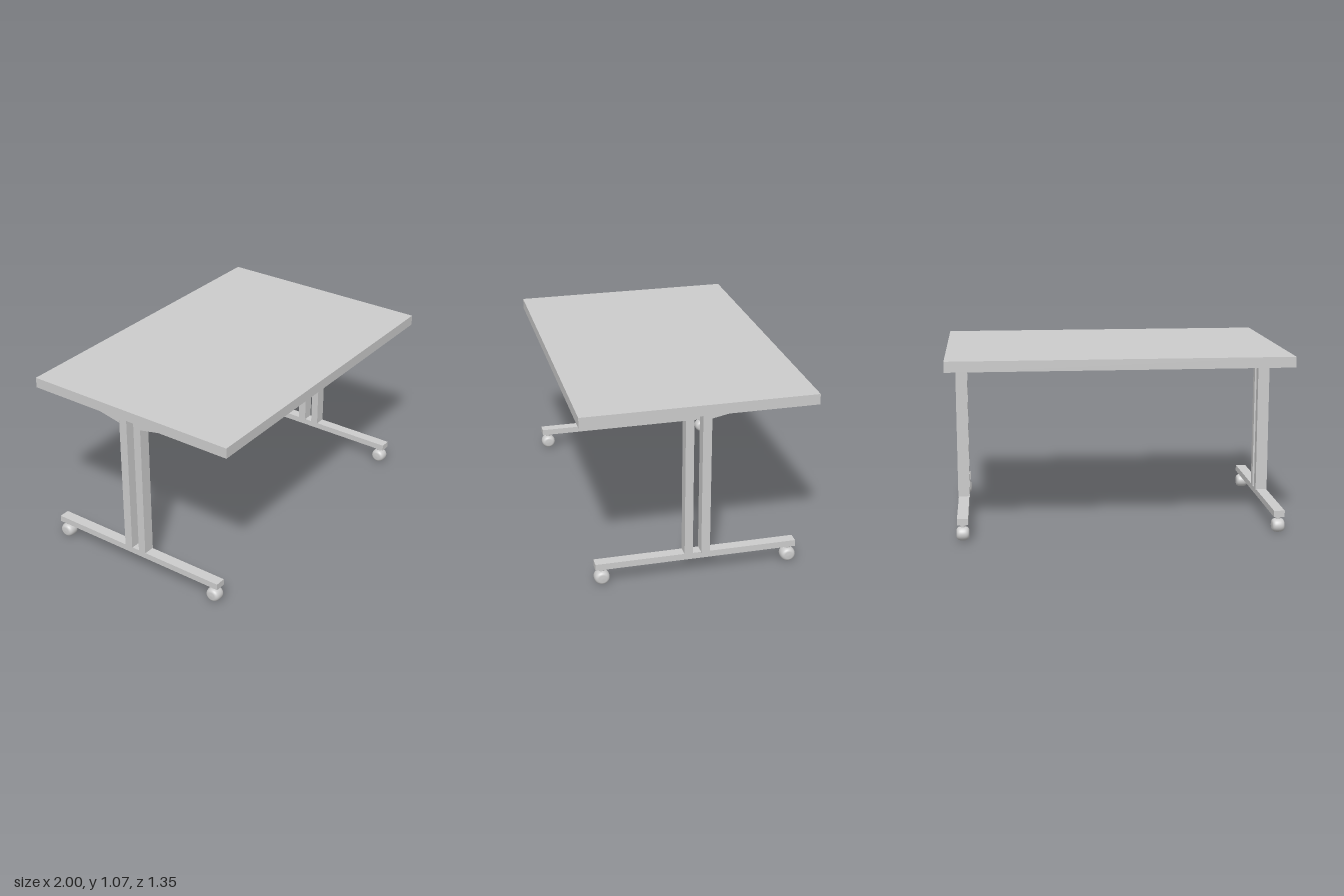
import * as THREE from 'three';

const material = new THREE.MeshStandardMaterial({ color: 0xcccccc });

function add(parent, name, geometry, x = 0, y = 0, z = 0) {
  const mesh = new THREE.Mesh(geometry, material);
  mesh.name = name;
  mesh.position.set(x, y, z);
  parent.add(mesh);
  return mesh;
}

// Box given by its width and its y and z ranges, centred on x = 0
function beam(parent, name, width, y0, y1, z0, z1) {
  return add(parent, name, new THREE.BoxGeometry(width, y1 - y0, z1 - z0), 0, (y0 + y1) / 2, (z0 + z1) / 2);
}

// Barrel wheel with rounded shoulders, turned about the x axis
function wheelGeometry() {
  const shape = new THREE.Path();
  shape.moveTo(0, -0.038);
  shape.lineTo(0.022, -0.037);
  shape.bezierCurveTo(0.037, -0.034, 0.042, -0.022, 0.042, 0);
  shape.bezierCurveTo(0.042, 0.022, 0.037, 0.034, 0.022, 0.037);
  shape.lineTo(0, 0.038);
  const geometry = new THREE.LatheGeometry(shape.getPoints(8), 32);
  geometry.rotateZ(Math.PI / 2);
  geometry.scale(1, 1, 1.07);
  return geometry;
}

// Wedge under the top, tapering away from the post (side = +1 front, -1 back)
function bracketGeometry(side) {
  const width = 0.076;
  const shape = new THREE.Shape([
    new THREE.Vector2(0.072, 0.968),
    new THREE.Vector2(0.253, 1.005),
    new THREE.Vector2(0.253, 1.01),
    new THREE.Vector2(0.072, 1.01),
  ]);
  const geometry = new THREE.ExtrudeGeometry(shape, { depth: width, bevelEnabled: false });
  geometry.translate(0, 0, -width / 2);
  geometry.rotateY(side > 0 ? -Math.PI / 2 : Math.PI / 2);
  return geometry;
}

function createLeg() {
  const leg = new THREE.Group();
  beam(leg, 'foot', 0.064, 0.1, 0.138, -0.588, 0.592);
  beam(leg, 'frontPost', 0.07, 0.132, 1.01, 0.028, 0.076);
  beam(leg, 'backPost', 0.07, 0.132, 1.01, -0.073, -0.022);

  for (const side of [1, -1]) {
    const end = side > 0 ? 'front' : 'back';
    add(leg, end + 'Bracket', bracketGeometry(side));

    const caster = new THREE.Group();
    caster.name = end + 'Caster';
    caster.position.z = side * 0.552;
    add(caster, 'stem', new THREE.CylinderGeometry(0.016, 0.016, 0.04, 20), 0, 0.085, 0);
    add(caster, 'wheel', wheelGeometry(), 0, 0.042, 0);
    leg.add(caster);
  }
  return leg;
}

export function createModel() {
  const table = new THREE.Group();
  table.name = 'table';

  beam(table, 'tableTop', 2, 1.008, 1.07, -0.675, 0.675);

  // The legs stand slightly off-centre under the top
  for (const [name, x] of [['rightLeg', -0.946], ['leftLeg', 0.918]]) {
    const leg = createLeg();
    leg.name = name;
    leg.position.x = x;
    table.add(leg);
  }
  return table;
}
